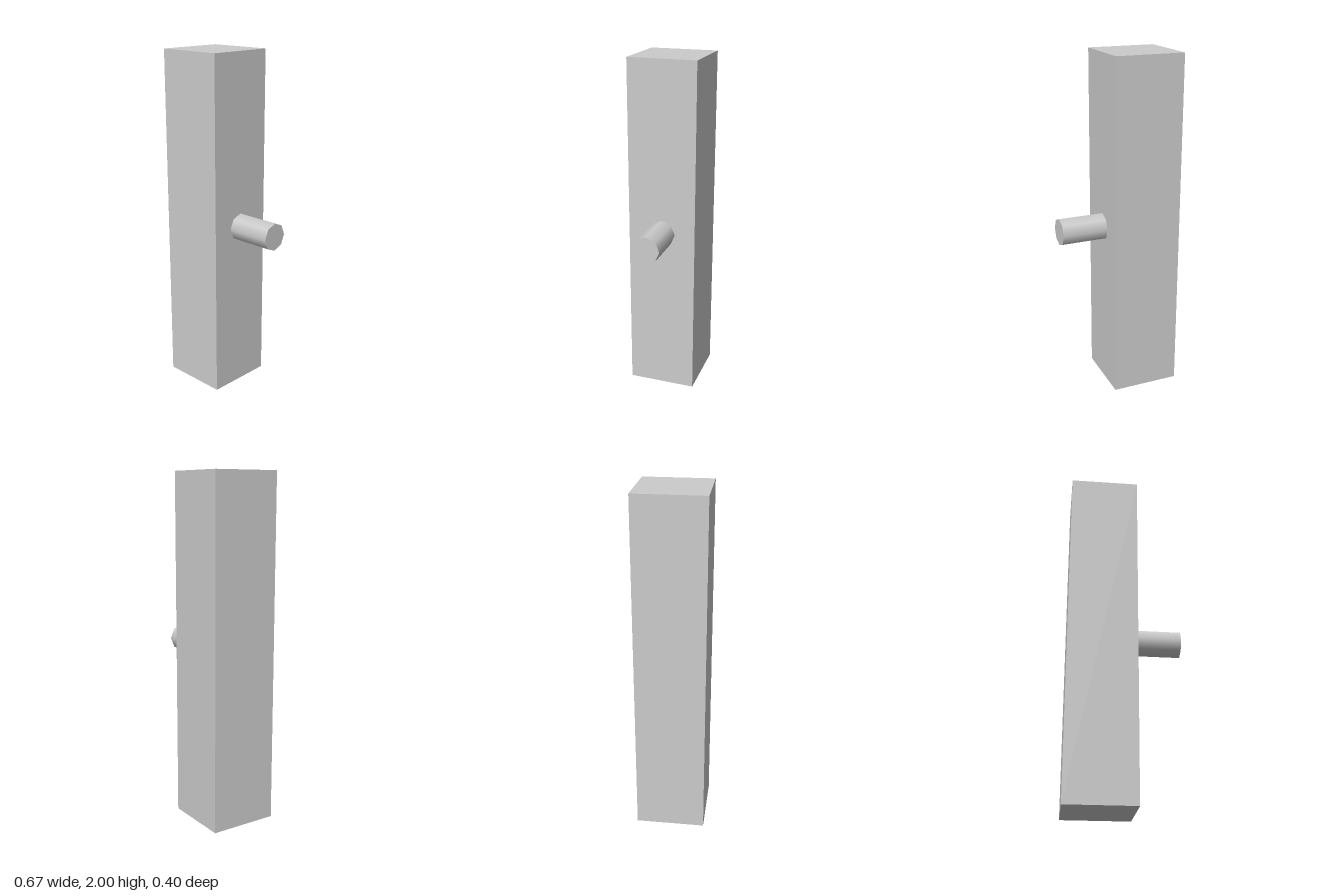
import * as THREE from 'three';

export function createModel() {
  const group = new THREE.Group();
  const material = new THREE.MeshStandardMaterial({ color: 0xcccccc });

  // Square upright post
  const post = new THREE.Mesh(new THREE.BoxGeometry(0.4, 2, 0.4), material);
  post.name = 'post';
  post.position.set(-0.133, 1, 0);
  group.add(post);

  // Eight-sided peg, smooth-shaded, set slightly into the left face of the post
  const inner = 0.06, outer = 0.333;
  const peg = new THREE.Mesh(new THREE.CylinderGeometry(0.08, 0.08, outer - inner, 8), material);
  peg.name = 'peg';
  peg.rotation.z = -Math.PI / 2;
  peg.position.set((inner + outer) / 2, 1, 0);
  group.add(peg);

  return group;
}
